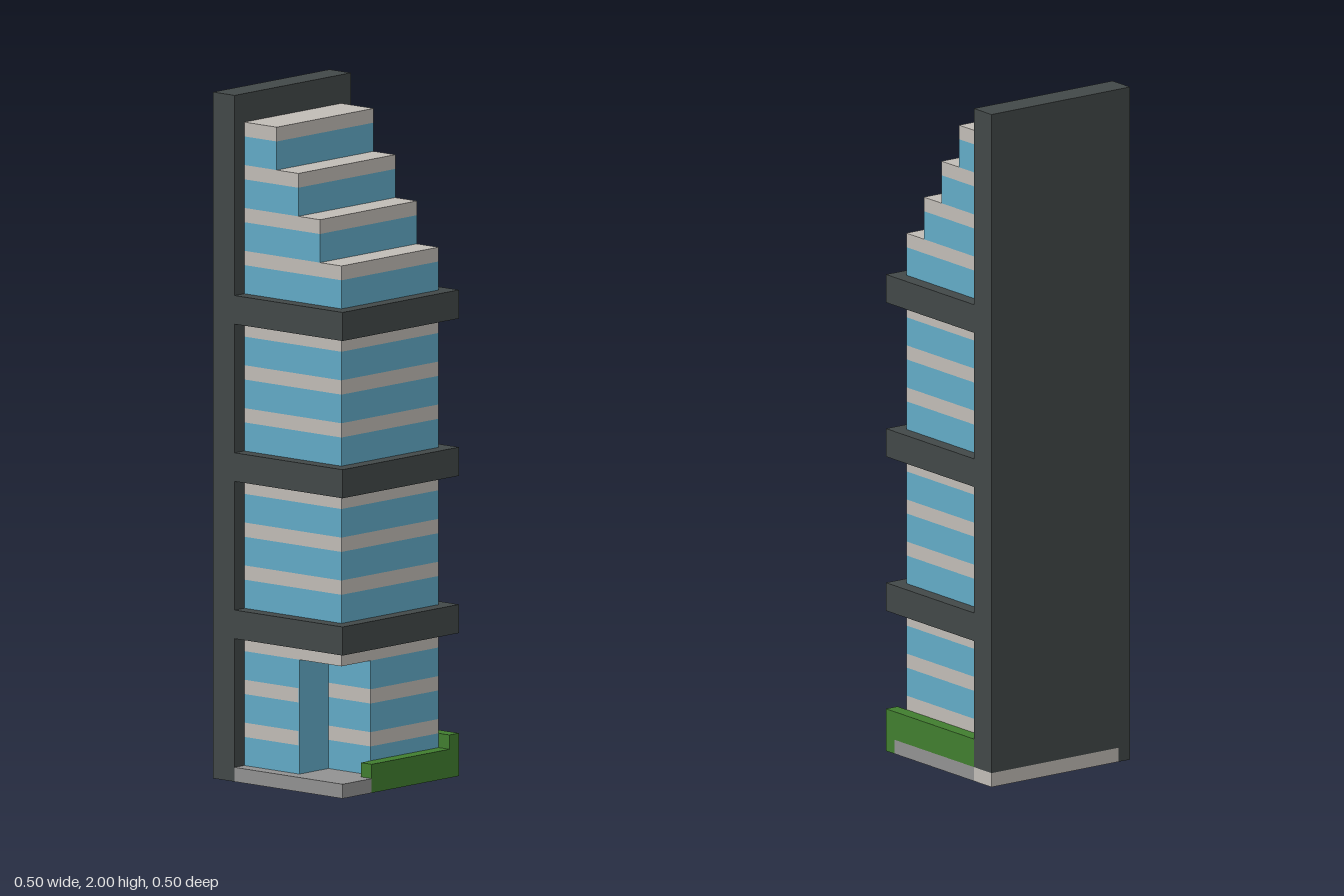
import * as THREE from 'three';

const U = 1 / 24; // one building module; all sizes below are in modules

const mat = (name, color) => {
  const m = new THREE.MeshStandardMaterial({ color });
  m.name = name;
  return m;
};

export function createModel() {
  const glass = mat('blue glass', 0x62abc7);
  const stone = mat('pale stone', 0xc1bcb6);
  const dark = mat('charcoal', 0x424848);
  const paving = mat('grey paving', 0x929292);
  const green = mat('hedge green', 0x417d2f);

  const model = new THREE.Group();
  model.name = 'officeTower';

  const add = (name, geometry, material) => {
    const mesh = new THREE.Mesh(geometry, material);
    mesh.name = name;
    model.add(mesh);
  };

  // Box given by its limits
  const box = (name, material, x0, x1, y0, y1, z0, z1) => {
    const g = new THREE.BoxGeometry((x1 - x0) * U, (y1 - y0) * U, (z1 - z0) * U);
    g.translate((x0 + x1) / 2 * U, (y0 + y1) / 2 * U, (z0 + z1) / 2 * U);
    add(name, g, material);
  };

  // Floor plan of [x, z] points raised from y0 to y1
  const toPoints = (pts) => pts.map(([x, z]) => new THREE.Vector2(x * U, -z * U));
  const plan = (name, material, pts, y0, y1, hole) => {
    const shape = new THREE.Shape(toPoints(pts));
    if (hole) shape.holes.push(new THREE.Path(toPoints(hole)));
    const g = new THREE.ExtrudeGeometry(shape, { depth: (y1 - y0) * U, bevelEnabled: false });
    g.rotateX(-Math.PI / 2);
    g.translate(0, y0 * U, 0);
    add(name, g, material);
  };

  // Plan with the entrance corner cut out, inset by d
  const notched = (back, d) => [
    [-5 + d, back + d], [5 - d, back + d], [5 - d, 5 - d],
    [-2 + d, 5 - d], [-2 + d, 1 - d], [-5 + d, 1 - d],
  ];

  // Ground layer
  plan('foundationRing', dark, notched(-5, 0), 0, 1, notched(-5, 1));
  plan('foundationCore', stone, notched(-5, 1), 0, 1);
  box('rightPaving', paving, 5, 6, 0, 1, -4, 5);
  box('leftPaving', paving, -6, -5, 0, 1, -4, 6);
  box('entrancePaving', paving, -5, -2, 0, 1, 1, 5);
  box('entranceStep', paving, -5, -3, 0, 1, 5, 6);
  box('backPlinth', stone, -5, 6, 0, 1, -6, -5);
  box('backPlinthEnd', stone, 5, 6, 0, 1, -5, -4);
  box('backWallFoot', dark, -6, -5, 0, 1, -6, -4);

  // Hedges along the front and one side
  box('frontHedge', green, -3, 5, 0, 2, 5, 6);
  box('hedgeCorner', green, 5, 6, 0, 3, 5, 6);
  box('sideHedge', green, 5, 6, 1, 3, -4, 5);

  // Tall back wall and the projecting bands
  box('backWall', dark, -6, 6, 1, 48, -6, -4);
  for (const y of [10, 21, 32]) box('band', dark, -6, 6, y, y + 2, -4, 6);

  // Lowest three floors, cut away at the entrance
  for (let y = 1; y < 10; y += 3) {
    plan('entranceFloorGlass', glass, notched(-4, 0), y, y + 2);
    if (y < 7) plan('entranceFloorSlab', stone, notched(-4, 0), y + 2, y + 3);
    else box('entranceCeiling', stone, -5, 5, y + 2, y + 3, -4, 5);
  }
  box('entranceGlazing', glass, -5, -2, 1, 9, 1, 1.1);

  // Regular floor: two modules of glass under one of stone
  const storey = (y, front) => {
    box('floorGlass', glass, -5, 5, y, y + 2, -4, front);
    box('floorSlab', stone, -5, 5, y + 2, y + 3, -4, front);
  };
  for (const base of [12, 23]) {
    for (let i = 0; i < 3; i++) storey(base + i * 3, 5);
  }

  // Stepped crown
  for (let i = 0; i < 4; i++) storey(34 + i * 3, 5 - i * 2);

  return model;
}
